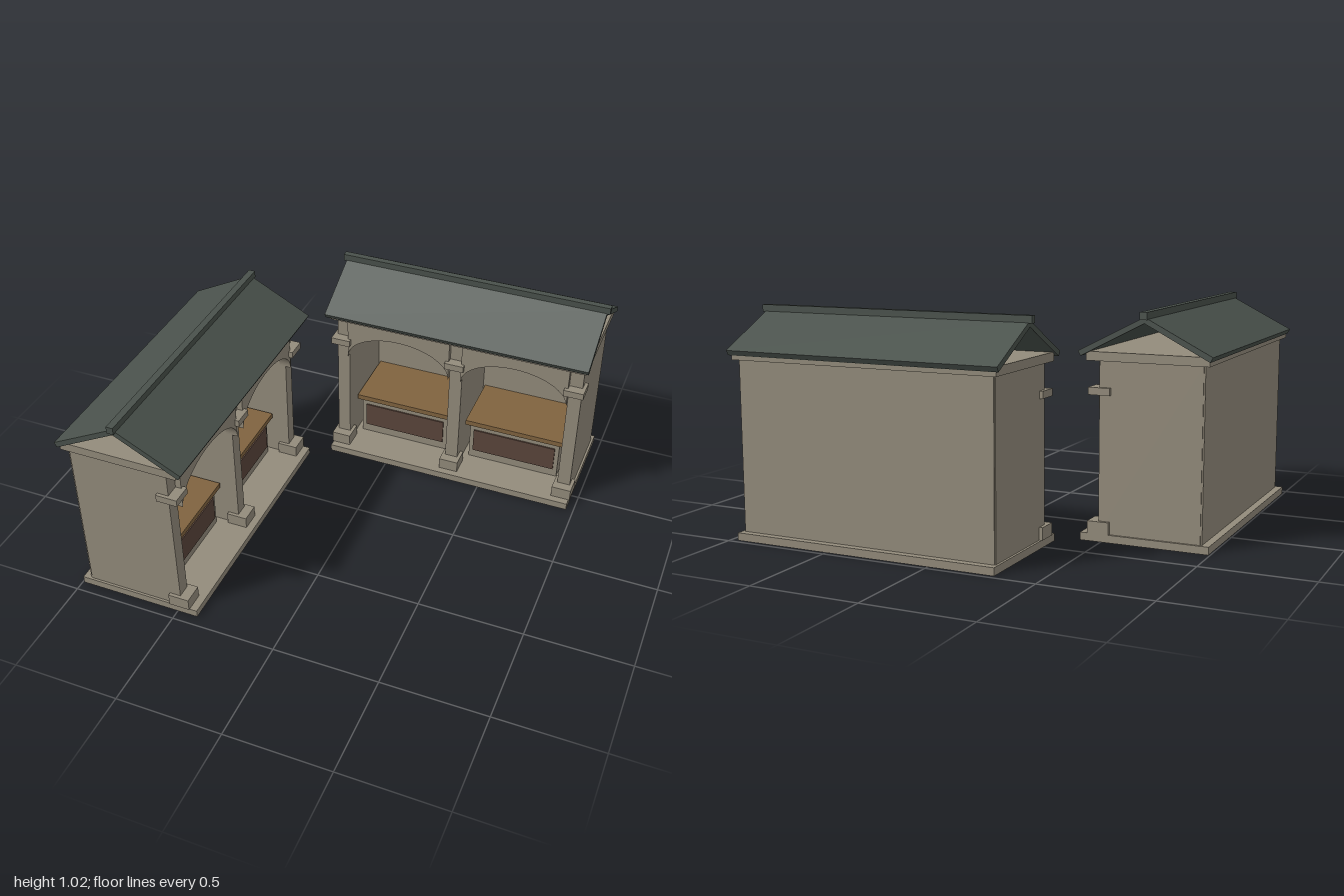
import * as THREE from 'three';

const stone = new THREE.MeshStandardMaterial({ color: 0x938b7b });
stone.name = 'stone';
const slate = new THREE.MeshStandardMaterial({ color: 0x49514b });
slate.name = 'slate';
const wood = new THREE.MeshStandardMaterial({ color: 0x80633f });
wood.name = 'wood';
const darkPanel = new THREE.MeshStandardMaterial({ color: 0x5a453b });
darkPanel.name = 'dark panel';

// Adds a box given by its [min, max] range on each axis
function box(group, name, material, [x0, x1], [y0, y1], [z0, z1]) {
  const mesh = new THREE.Mesh(new THREE.BoxGeometry(x1 - x0, y1 - y0, z1 - z0), material);
  mesh.position.set((x0 + x1) / 2, (y0 + y1) / 2, (z0 + z1) / 2);
  mesh.name = name;
  group.add(mesh);
}

const around = (centre, half) => [centre - half, centre + half];

// Flat-topped panel with an elliptical arch cut from its underside
function archGeometry() {
  const half = 0.264, spring = 0.583, rise = 0.145, top = 0.805;
  const shape = new THREE.Shape();
  shape.moveTo(-half, spring);
  shape.absellipse(0, spring, half, rise, Math.PI, 0, true);
  shape.lineTo(half, top);
  shape.lineTo(-half, top);
  shape.closePath();
  return new THREE.ExtrudeGeometry(shape, { depth: 0.06, bevelEnabled: false, curveSegments: 24 });
}

// Pitched roof: a chevron section run along x
function roofGeometry(length) {
  const points = [[0, 1.003], [-0.303, 0.847], [-0.291, 0.825], [0, 0.976], [0.291, 0.825], [0.303, 0.847]];
  const shape = new THREE.Shape(points.map(([x, y]) => new THREE.Vector2(x, y)));
  return new THREE.ExtrudeGeometry(shape, { depth: length, bevelEnabled: false })
    .translate(0, 0, -length / 2)
    .rotateY(Math.PI / 2);
}

// One two-bay shelter, open towards +z
function createShelter(name) {
  const g = new THREE.Group();
  g.name = name;

  box(g, 'base', stone, [-0.635, 0.635], [0, 0.035], [-0.296, 0.296]);
  box(g, 'backWall', stone, [-0.62, 0.62], [0.035, 0.805], [-0.262, -0.2]);
  box(g, 'topSlab', stone, [-0.642, 0.642], [0.805, 0.845], [-0.286, 0.27]);

  // Side walls and partition, each ending in a pier with plinth and capital
  for (const x of [-0.592, 0, 0.592]) {
    box(g, 'wall', stone, around(x, 0.032), [0.035, 0.805], [-0.255, 0.213]);
    box(g, 'plinth', stone, around(x, 0.048), [0.035, 0.092], [0.16, 0.26]);
    box(g, 'capital', stone, around(x, 0.048), [0.655, 0.688], [0.16, 0.26]);
  }

  // Arch and bench in each bay
  const arch = archGeometry();
  for (const x of [-0.296, 0.296]) {
    const mesh = new THREE.Mesh(arch, stone);
    mesh.name = 'arch';
    mesh.position.set(x, 0, 0.18);
    g.add(mesh);
    box(g, 'benchBody', stone, around(x, 0.234), [0.035, 0.247], [-0.2, 0.105]);
    box(g, 'benchPanel', darkPanel, around(x, 0.213), [0.08, 0.208], [0.105, 0.112]);
    box(g, 'seat', wood, around(x, 0.254), [0.247, 0.273], [-0.2, 0.13]);
  }

  // Roof with open gables and a ridge bar
  const roof = new THREE.Mesh(roofGeometry(1.312), slate);
  roof.name = 'roof';
  g.add(roof);
  box(g, 'ridge', slate, [-0.671, 0.671], [0.992, 1.025], [-0.016, 0.016]);
  return g;
}

export function createModel() {
  const model = new THREE.Group();
  model.name = 'shelters';

  const rear = createShelter('rearShelter');
  rear.position.set(0.329, 0, -0.682);

  const side = createShelter('sideShelter');
  side.position.set(-0.697, 0, 0.315);
  side.rotation.y = Math.PI / 2;

  model.add(rear, side);
  return model;
}
